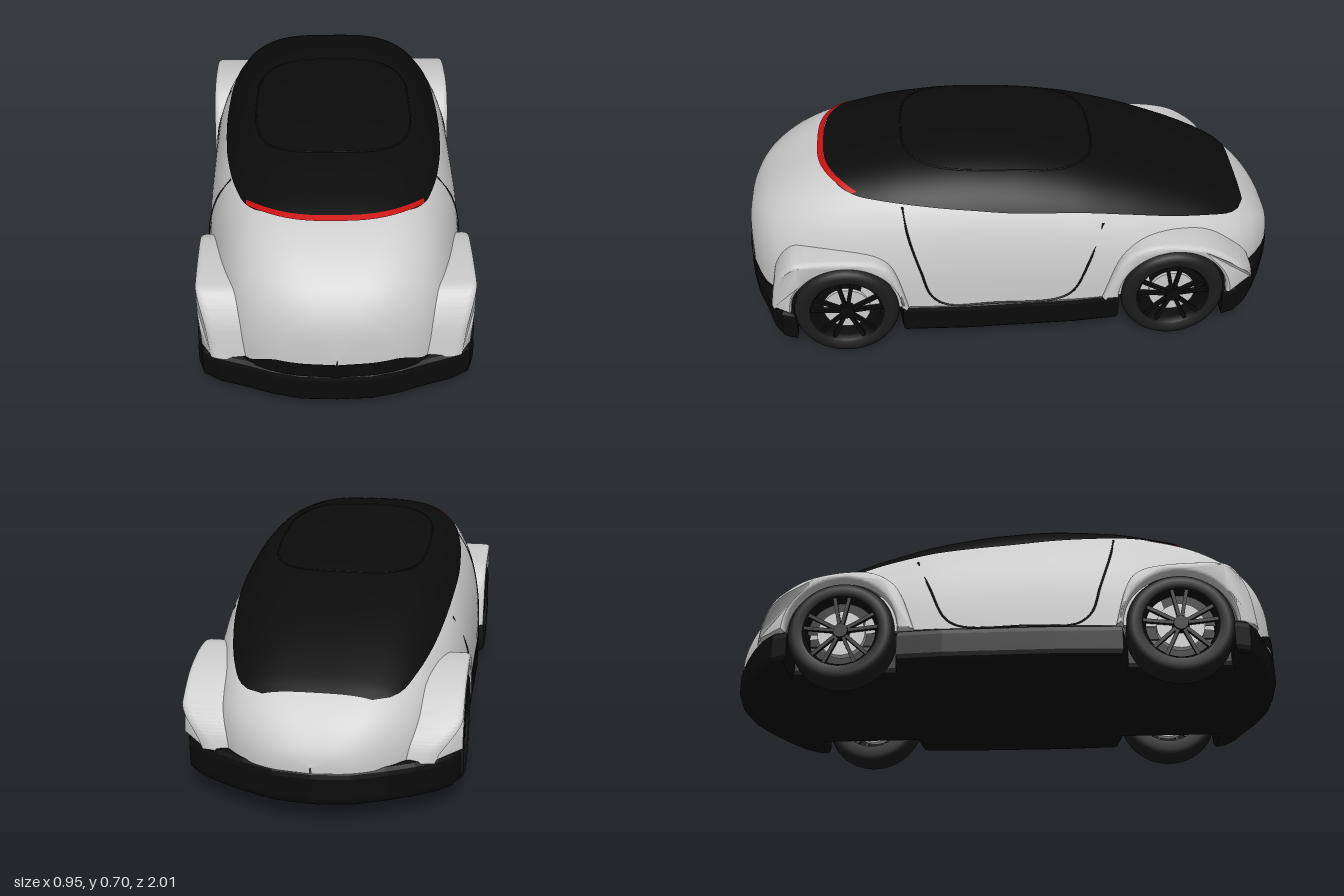
import * as THREE from 'three';
import { toCreasedNormals } from 'three/addons/utils/BufferGeometryUtils.js';

const mat = (color) => new THREE.MeshStandardMaterial({ color, roughness: 0.6, side: THREE.DoubleSide });
const grey = mat(0xcccccc), black = mat(0x0b0b0b), rubber = mat(0x1c1c1c), red = mat(0xcc1010);

// Smooth monotone interpolation through [position, value] pairs
function profile(pts) {
  const d = pts.slice(1).map((p, i) => (p[1] - pts[i][1]) / (p[0] - pts[i][0]));
  const m = pts.map((_, i) => {
    if (i === 0) return d[0];
    if (i === d.length) return d[i - 1];
    return d[i - 1] * d[i] <= 0 ? 0 : (2 * d[i - 1] * d[i]) / (d[i - 1] + d[i]);
  });
  return (z) => {
    let i = 0;
    while (i < d.length - 1 && z > pts[i + 1][0]) i++;
    const h = pts[i + 1][0] - pts[i][0];
    const t = THREE.MathUtils.clamp((z - pts[i][0]) / h, 0, 1), s = 1 - t;
    return (1 + 2 * t) * s * s * pts[i][1] + t * s * s * h * m[i]
      + t * t * (3 - 2 * t) * pts[i + 1][1] - t * t * s * h * m[i + 1];
  };
}

// Body: roof height, half width and roof panel half width along z
const BASE = 0.19, N = 3.4, M = 2.6;
const roofY = profile([[-1, 0.21], [-0.99, 0.25], [-0.97, 0.29], [-0.93, 0.345], [-0.85, 0.415], [-0.8, 0.445],
  [-0.6, 0.535], [-0.4, 0.602], [-0.2, 0.655], [0, 0.686], [0.2, 0.697], [0.4, 0.687], [0.6, 0.655],
  [0.7, 0.63], [0.8, 0.587], [0.88, 0.535], [0.93, 0.49], [0.97, 0.43], [0.99, 0.37], [1, 0.26]]);
const halfW = profile([[-1, 0.002], [-0.99, 0.1], [-0.97, 0.165], [-0.93, 0.235], [-0.9, 0.275], [-0.85, 0.32],
  [-0.8, 0.35], [-0.7, 0.385], [-0.56, 0.415], [-0.4, 0.445], [-0.2, 0.46], [0.2, 0.462], [0.4, 0.455],
  [0.6, 0.43], [0.7, 0.41], [0.8, 0.38], [0.88, 0.335], [0.93, 0.28], [0.97, 0.2], [0.99, 0.12], [1, 0.002]]);
const panelW = profile([[-0.86, 0.18], [-0.84, 0.225], [-0.8, 0.265], [-0.75, 0.29], [-0.6, 0.335], [-0.4, 0.37],
  [-0.2, 0.387], [0, 0.393], [0.2, 0.385], [0.4, 0.36], [0.55, 0.32], [0.6, 0.295], [0.64, 0.26], [0.68, 0.17], [0.705, 0.01]]);

// Surface lookups: height over (x, z), side position at (y, z), tail position at (x, y)
const yAt = (x, z) => BASE + (roofY(z) - BASE) * Math.pow(Math.max(0, 1 - Math.pow(Math.abs(x) / halfW(z), N)), 1 / M);
const xAt = (y, z) => halfW(z) * Math.pow(Math.max(0, 1 - Math.pow((y - BASE) / (roofY(z) - BASE), M)), 1 / N);
function tailZ(x, y) {
  let a = 0.5, b = 1;
  for (let i = 0; i < 24; i++) {
    const c = (a + b) / 2;
    if (halfW(c) > Math.abs(x) && yAt(x, c) >= y) a = c; else b = c;
  }
  return a;
}

// Grid of (nu x nv) cells from f(u, v) -> [x, y, z]
function sheet(nu, nv, f) {
  const pos = [], idx = [];
  for (let i = 0; i <= nu; i++) for (let j = 0; j <= nv; j++) {
    pos.push(...f(i / nu, j / nv));
    if (i < nu && j < nv) {
      const a = i * (nv + 1) + j, b = a + nv + 1;
      idx.push(a, a + 1, b, b, a + 1, b + 1);
    }
  }
  const g = new THREE.BufferGeometry();
  g.setAttribute('position', new THREE.Float32BufferAttribute(pos, 3));
  g.setIndex(idx);
  g.computeVertexNormals();
  return g;
}

function add(parent, name, geo, material) {
  const m = new THREE.Mesh(geo, material);
  m.name = name;
  parent.add(m);
  return m;
}

const seam = (pts, closed = false) => new THREE.TubeGeometry(
  new THREE.CatmullRomCurve3(pts, closed, 'centripetal'), 120, 0.004, 6, closed);

// Wheel arch flare from an outline of [z, y] points around the wheel centre
function fender(outline, wheelZ, taper) {
  const p = outline.map(([z, y]) => new THREE.Vector2(-z, y));
  const s = new THREE.Shape();
  s.moveTo(p[0].x, p[0].y);
  s.splineThru(p.slice(1));
  s.lineTo(-wheelZ + 0.2, 0.19);
  s.absarc(-wheelZ, 0.19, 0.2, 0, Math.PI, false);
  const g = new THREE.ExtrudeGeometry(s, { depth: 0.155, bevelEnabled: true, bevelSize: 0.012, bevelOffset: -0.012,
    bevelThickness: 0.02, bevelSegments: 4, curveSegments: 32 });
  g.rotateY(Math.PI / 2).translate(0.3, 0, 0);
  const a = g.attributes.position;
  for (let i = 0; i < a.count; i++) {
    const over = Math.max(0, Math.abs(a.getZ(i)) - 0.78);
    a.setX(i, a.getX(i) - taper * over * over);
  }
  return toCreasedNormals(g, 0.6);
}

function wheel() {
  const g = new THREE.Group();
  g.name = 'wheel';
  const lathe = (pts) => new THREE.LatheGeometry(pts.map(([r, x]) => new THREE.Vector2(r, x)), 48).rotateZ(-Math.PI / 2);
  add(g, 'tyre', lathe([[0.13, -0.065], [0.165, -0.065], [0.182, -0.058], [0.19, -0.042], [0.19, 0.042],
    [0.182, 0.058], [0.165, 0.065], [0.138, 0.063], [0.13, 0.05]]), rubber);
  add(g, 'rim', lathe([[0.13, -0.065], [0.122, -0.03], [0.122, 0.04], [0.136, 0.06]]), black);
  add(g, 'brakeDisc', new THREE.CylinderGeometry(0.085, 0.085, 0.03, 40).rotateZ(Math.PI / 2).translate(0.02, 0, 0), grey);
  add(g, 'hub', new THREE.CylinderGeometry(0.026, 0.032, 0.03, 24).rotateZ(-Math.PI / 2).translate(0.045, 0, 0), black);
  // Five split spokes
  for (let i = 0; i < 5; i++) for (const side of [-1, 1]) {
    const geo = new THREE.BoxGeometry(0.014, 0.112, 0.013).translate(0, 0.076, 0)
      .rotateX(side * 0.2).rotateX((i / 5) * Math.PI * 2);
    add(g, 'spoke', geo, black).position.x = 0.048;
  }
  return g;
}

export function createModel() {
  const car = new THREE.Group();
  car.name = 'car';

  add(car, 'bodyShell', sheet(140, 72, (u, v) => {
    const z = Math.sin((u - 0.5) * Math.PI), t = v * Math.PI, c = Math.cos(t);
    return [halfW(z) * Math.sign(c) * Math.pow(Math.abs(c), 2 / N),
      BASE + (roofY(z) - BASE) * Math.pow(Math.max(0, Math.sin(t)), 2 / M), z];
  }), grey);

  // Dark glass canopy lying on the shell
  add(car, 'canopy', sheet(90, 60, (u, v) => {
    const z = -0.86 + 1.565 * Math.sin(u * Math.PI / 2), x = panelW(z) * Math.cos(v * Math.PI);
    return [x * 1.01, yAt(x, z) + 0.005, z];
  }), black);

  add(car, 'rearLightStrip', sheet(3, 50, (u, v) => {
    const x = 0.3 - 0.6 * v, z = 0.72 - 0.125 * Math.pow(Math.abs(x) / 0.3, 3) - 0.022 * (1 - u);
    return [x * 1.01, yAt(x, z) + 0.007, z];
  }), red);

  // Raised dark panel on the tail
  add(car, 'rearPanel', sheet(6, 60, (u, v) => {
    const x = -0.33 + 0.66 * v;
    const top = 0.2 + 0.048 * (1 - THREE.MathUtils.smoothstep(Math.abs(x), 0.19, 0.33));
    const y = 0.192 + (top - 0.192) * u;
    return [x * 1.01, y, tailZ(x, y) + 0.006];
  }), black);

  // Bumpers, sills and floor in one slab, notched for the wheels
  const half = [[0, 1], [0.12, 0.995], [0.22, 0.97], [0.31, 0.935], [0.4, 0.905], [0.455, 0.87], [0.472, 0.82],
    [0.33, 0.82], [0.33, 0.45], [0.455, 0.43], [0.465, 0.2], [0.462, -0.2], [0.45, -0.36], [0.33, -0.375],
    [0.33, -0.745], [0.465, -0.75], [0.45, -0.8], [0.4, -0.85], [0.33, -0.895], [0.24, -0.94], [0.13, -0.985], [0, -1]];
  const outline = [...half, ...half.slice(1, -1).reverse().map(([x, z]) => [-x, z])];
  const slab = new THREE.Shape(outline.map(([x, z]) => new THREE.Vector2(x, -z)));
  add(car, 'lowerBody', new THREE.ExtrudeGeometry(slab, { depth: 0.07, bevelEnabled: true, bevelSize: 0.025,
    bevelOffset: -0.022, bevelThickness: 0.03, bevelSegments: 3 }).rotateX(-Math.PI / 2).translate(0, 0.1, 0), black);

  // Roof hatch seam
  const hatch = [];
  for (let i = 0; i < 40; i++) {
    const a = (i / 40) * Math.PI * 2, c = Math.cos(a), s = Math.sin(a);
    const x = 0.28 * Math.sign(c) * Math.pow(Math.abs(c), 0.6), z = 0.06 + 0.35 * Math.sign(s) * Math.pow(Math.abs(s), 0.6);
    hatch.push(new THREE.Vector3(x, yAt(x, z) + 0.004, z));
  }
  add(car, 'roofHatchSeam', seam(hatch, true), black);

  // Parts of one side, mirrored for the other
  const fenders = [
    { name: 'rear', z: 0.635, taper: 3.5, pts: [[0.91, 0.19], [0.885, 0.32], [0.83, 0.405], [0.76, 0.425], [0.6, 0.422],
      [0.5, 0.4], [0.45, 0.34], [0.41, 0.19]] },
    { name: 'front', z: -0.56, taper: 11, pts: [[-0.3, 0.19], [-0.35, 0.33], [-0.4, 0.39], [-0.47, 0.42], [-0.58, 0.42],
      [-0.7, 0.39], [-0.8, 0.32], [-0.86, 0.25], [-0.88, 0.19]].reverse() },
  ];
  fenders[1].pts = fenders[1].pts.reverse().slice().reverse();
  const doorLine = [[0.415, 0.58], [0.4, 0.49], [0.36, 0.35], [0.325, 0.24], [0.27, 0.198], [0.1, 0.195],
    [-0.13, 0.197], [-0.19, 0.23], [-0.25, 0.36], [-0.3, 0.49]];
  for (const sign of [1, -1]) {
    const side = new THREE.Group();
    side.name = sign > 0 ? 'leftSide' : 'rightSide';
    side.scale.x = sign;
    car.add(side);
    for (const f of fenders) {
      // Outlines run from +z to -z
      const pts = f.pts.slice().sort((a, b) => b[0] - a[0]);
      add(side, f.name + 'Fender', fender(pts, f.z, f.taper), grey);
      add(side, f.name + 'WheelWell', new THREE.CylinderGeometry(0.203, 0.203, 0.12, 40, 1, false, 0, Math.PI)
        .rotateZ(Math.PI / 2).translate(0.372, 0.19, f.z), black);
      const w = wheel();
      w.name = f.name + 'Wheel';
      w.position.set(0.41, 0.19, f.z);
      side.add(w);
    }
    add(side, 'doorSeam', seam(doorLine.map(([z, y]) => new THREE.Vector3(xAt(y, z), y, z))), black);
  }
  return car;
}
